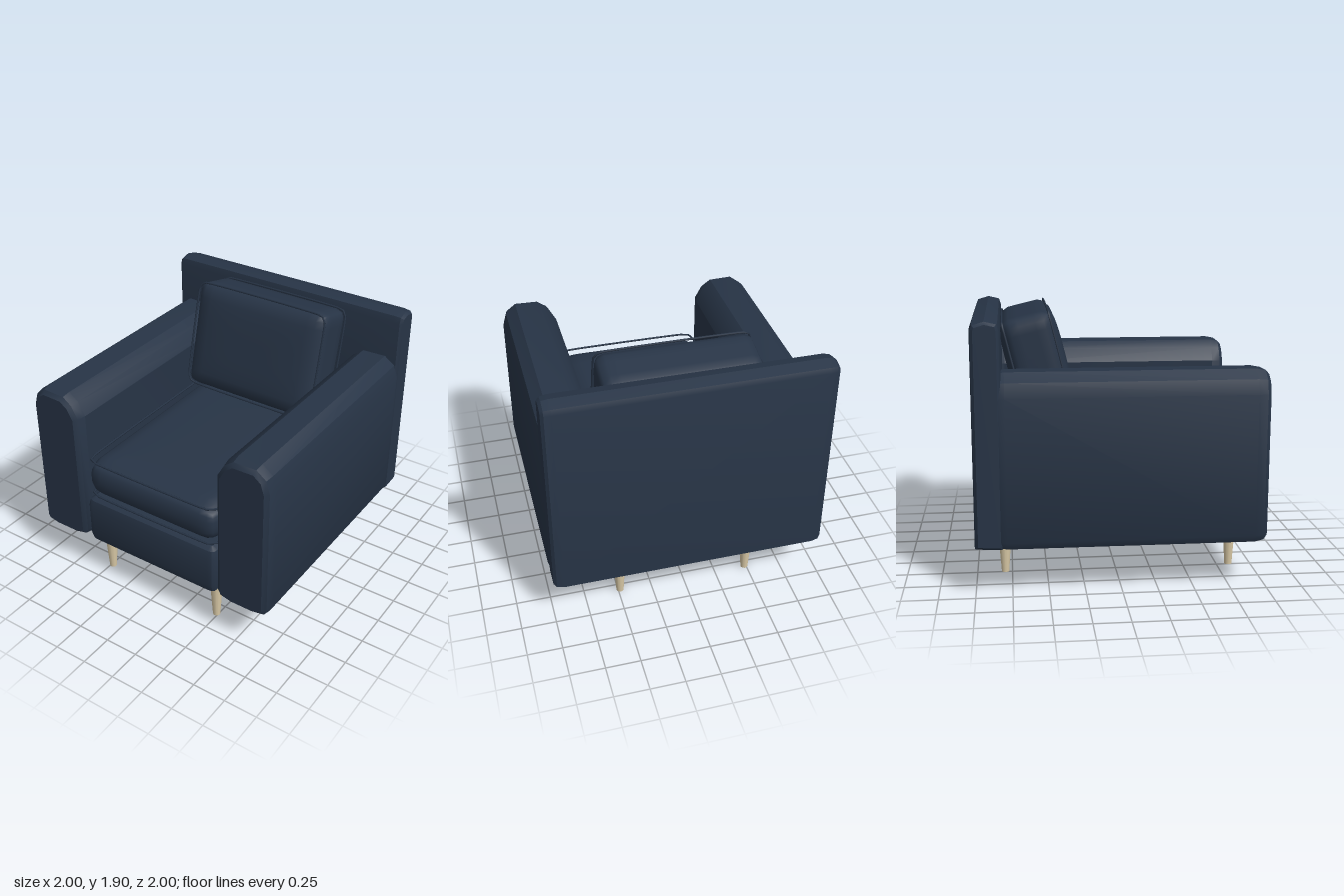
import * as THREE from 'three';
import { mergeVertices, toCreasedNormals } from 'three/addons/utils/BufferGeometryUtils.js';

// Outline extruded along z from z0 to z1, with soft chamfered ends that stay inside the outline.
function padded(shape, z0, z1, endDepth, endInset) {
  const geo = new THREE.ExtrudeGeometry(shape, {
    depth: z1 - z0 - 2 * endDepth, curveSegments: 3,
    bevelThickness: endDepth, bevelSize: endInset, bevelOffset: -endInset, bevelSegments: 2,
  });
  geo.translate(0, 0, z0 + endDepth);
  return toCreasedNormals(geo, 0.5);
}

function outline(points) {
  return new THREE.Shape(points.map(([x, y]) => new THREE.Vector2(x, y)));
}

function roundedRect(w, h, r) {
  const x = w / 2, y = h / 2, s = new THREE.Shape();
  s.moveTo(-x + r, -y);
  s.lineTo(x - r, -y).quadraticCurveTo(x, -y, x, -y + r);
  s.lineTo(x, y - r).quadraticCurveTo(x, y, x - r, y);
  s.lineTo(-x + r, y).quadraticCurveTo(-x, y, -x, y - r);
  s.lineTo(-x, -y + r).quadraticCurveTo(-x, -y, -x + r, -y);
  return s;
}

// Rounded box whose two large faces (+z and -z) swell by the dome height.
function cushion(w, h, d, r, dome) {
  const geo = new THREE.BoxGeometry(w, h, d, 16, 14, 6);
  geo.deleteAttribute('normal');
  geo.deleteAttribute('uv');
  const p = geo.attributes.position, v = new THREE.Vector3(), core = new THREE.Vector3();
  const half = new THREE.Vector3(w / 2 - r, h / 2 - r, d / 2 - r);
  for (let i = 0; i < p.count; i++) {
    v.fromBufferAttribute(p, i);
    const a = 2 * v.x / w, b = 2 * v.y / h, c = 2 * v.z / d;
    core.copy(v).clamp(half.clone().negate(), half);
    v.sub(core).setLength(r).add(core);
    v.z += c * dome * (1 - a ** 4) * (1 - b ** 4);
    p.setXYZ(i, v.x, v.y, v.z);
  }
  const smooth = mergeVertices(geo);
  smooth.computeVertexNormals();
  return smooth;
}

// Thin cord around a rounded rectangle in the xy plane.
function cord(w, h, r) {
  const pts = roundedRect(w, h, r).getPoints(4).slice(0, -1).map((q) => new THREE.Vector3(q.x, q.y, 0));
  return new THREE.TubeGeometry(new THREE.CatmullRomCurve3(pts, true), 80, 0.008, 5, true);
}

export function createModel() {
  const group = new THREE.Group();
  const fabric = new THREE.MeshStandardMaterial({ color: 0x273446 });
  fabric.name = 'navy fabric';
  const wood = new THREE.MeshStandardMaterial({ color: 0xd9c9a6 });
  wood.name = 'pale wood';

  function add(name, geo, material, parent = group) {
    const mesh = new THREE.Mesh(geo, material);
    mesh.name = name;
    parent.add(mesh);
    return mesh;
  }

  // Arms: soft-topped profile running front to back
  const armGeo = padded(outline([
    [-0.21, 0.38], [-0.185, 0.335], [-0.08, 0.31], [0.08, 0.31], [0.185, 0.33], [0.21, 0.38],
    [0.21, 1.36], [0.18, 1.46], [0.1, 1.52], [-0.08, 1.515], [-0.155, 1.46], [-0.21, 1.36],
  ]), -0.87, 1, 0.09, 0.04);
  for (const side of [1, -1]) {
    const arm = add(side > 0 ? 'leftArm' : 'rightArm', armGeo, fabric);
    arm.position.x = side * 0.79;
    arm.scale.x = side;
  }

  // Backrest: side profile extruded across the width
  const backGeo = padded(outline([
    [-1, 0.33], [-0.81, 0.32], [-0.8, 0.36], [-0.8, 1.8], [-0.815, 1.85], [-0.9, 1.87], [-0.985, 1.845], [-1, 1.81],
  ]), -0.995, 0.995, 0.07, 0.025);
  backGeo.rotateY(-Math.PI / 2);
  add('backrest', backGeo, fabric);

  // Seat base between the arms
  const baseGeo = padded(roundedRect(1.14, 1.84, 0.06), 0.31, 0.71, 0.08, 0.05);
  baseGeo.rotateX(-Math.PI / 2);
  add('seatBase', baseGeo, fabric).position.z = 0.07;

  // Seat cushion with piping along its upper and lower edges
  const seat = new THREE.Group();
  seat.name = 'seatCushion';
  seat.position.set(0, 0.875, 0.1);
  seat.rotation.x = -Math.PI / 2;
  group.add(seat);
  add('seatPad', cushion(1.14, 1.76, 0.29, 0.12, 0.015), fabric, seat);
  for (const z of [0.15, -0.14]) add('seatPiping', cord(1.1, 1.72, 0.08), fabric, seat).position.z = z;

  // Back pillow leaning on the backrest, with piping front and back
  const pillow = new THREE.Group();
  pillow.name = 'backPillow';
  pillow.position.set(0, 1.45, -0.535);
  pillow.rotation.x = -0.24;
  group.add(pillow);
  add('pillowPad', cushion(1.11, 0.82, 0.36, 0.07, 0.035), fabric, pillow);
  for (const z of [0.165, -0.165]) add('pillowPiping', cord(1.1, 0.81, 0.07), fabric, pillow).position.z = z;

  // Tapered legs
  const legGeo = new THREE.CylinderGeometry(0.05, 0.027, 0.34, 12);
  for (const x of [-0.485, 0.485]) {
    for (const z of [0.84, -0.8]) {
      add(z > 0 ? 'frontLeg' : 'backLeg', legGeo, wood).position.set(x, 0.17, z);
    }
  }
  return group;
}
